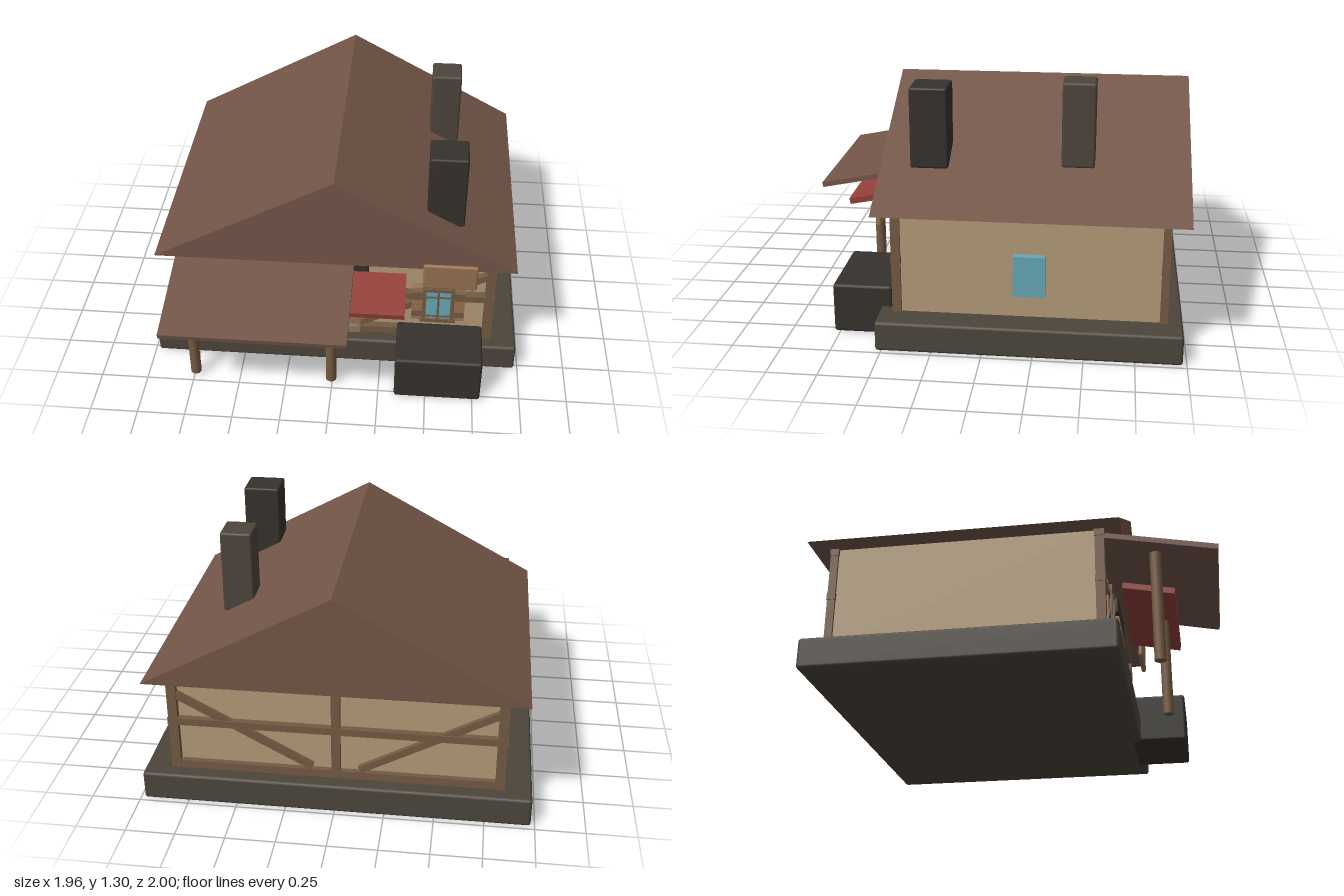
import * as THREE from 'three';
import { RoundedBoxGeometry } from 'three/addons/geometries/RoundedBoxGeometry.js';

const mat = (color) => new THREE.MeshStandardMaterial({ color });

export function createModel() {
  const house = new THREE.Group();
  house.name = 'house';
  const roofMat = mat(0x735548), wood = mat(0x735a42), plaster = mat(0xb39a78), stone = mat(0x4c453b),
    dark = mat(0x36312c), red = mat(0x94403a), glass = mat(0x67a7b7), plank = mat(0x967452), iron = mat(0x858a8c);

  function add(name, geometry, material, x = 0, y = 0, z = 0, parent = house) {
    const mesh = new THREE.Mesh(geometry, material);
    mesh.name = name;
    mesh.position.set(x, y, z);
    parent.add(mesh);
    return mesh;
  }
  // Box given by its minimum and maximum corners; r rounds the edges
  function block(name, material, [x0, x1], [y0, y1], [z0, z1], r = 0, parent = house) {
    const s = [x1 - x0, y1 - y0, z1 - z0];
    const geometry = r ? new RoundedBoxGeometry(...s, 2, r) : new THREE.BoxGeometry(...s);
    return add(name, geometry, material, (x0 + x1) / 2, (y0 + y1) / 2, (z0 + z1) / 2, parent);
  }

  // Foundation, walls and the stone block beside the entrance
  block('foundation', stone, [-0.98, 0.98], [0, 0.153], [-0.98, 0.53], 0.015);
  block('walls', plaster, [-0.83, 0.83], [0.15, 0.7], [-0.875, 0.42]);
  block('stoneBlock', dark, [0.335, 0.79], [0, 0.26], [0.475, 0.78], 0.015);

  // Gabled roof with a flat underside
  const gable = new THREE.Shape([[-0.94, 0.69], [0.94, 0.69], [0, 1.2]].map(([x, y]) => new THREE.Vector2(x, y)));
  add('mainRoof', new THREE.ExtrudeGeometry(gable, { depth: 1.54, bevelEnabled: false }), roofMat, 0, 0, -0.997);

  // Chimneys
  block('frontChimney', dark, [0.465, 0.66], [0.852, 1.263], [0.2, 0.39], 0.012);
  block('backChimney', stone, [0.465, 0.625], [0.868, 1.298], [-0.525, -0.36], 0.012);

  // Timber framing, the same on the front and back walls
  function timberWall(name, z0, z1) {
    const frame = new THREE.Group();
    frame.name = name;
    house.add(frame);
    const beam = (part, x, y, inset = 0.005) => block(part, wood, x, y, [z0 + inset, z1 - inset], 0, frame);
    beam('sillBeam', [-0.8, 0.8], [0.152, 0.195]);
    beam('middleBeam', [-0.848, 0.848], [0.41, 0.448], 0);
    beam('topBeam', [-0.848, 0.848], [0.655, 0.69], 0);
    beam('centrePost', [-0.022, 0.022], [0.152, 0.67], 0.003);
    for (const side of [-1, 1]) {
      beam('cornerPost', [side * 0.82 - 0.024, side * 0.82 + 0.024], [0.152, 0.67], 0.002);
      const dx = side * 0.69, dy = 0.375;
      const brace = add('diagonalBrace', new THREE.BoxGeometry(Math.hypot(dx, dy), 0.036, z1 - z0 - 0.014),
        wood, side * 0.465, 0.395, (z0 + z1) / 2, frame);
      brace.rotation.z = side * Math.atan2(dy, Math.abs(dx));
    }
  }
  timberWall('frontTimbers', 0.415, 0.465);
  timberWall('backTimbers', -0.908, -0.865);

  // Front windows with shutters
  for (const side of [-1, 1]) {
    const win = new THREE.Group();
    win.name = 'frontWindow';
    win.position.x = side * 0.55;
    house.add(win);
    block('pane', glass, [-0.07, 0.07], [0.275, 0.48], [0.42, 0.468], 0, win);
    block('mullion', wood, [-0.006, 0.006], [0.275, 0.48], [0.42, 0.476], 0, win);
    block('windowSill', wood, [-0.095, 0.095], [0.268, 0.288], [0.42, 0.48], 0, win);
    block('windowHead', wood, [-0.085, 0.085], [0.475, 0.493], [0.42, 0.476], 0, win);
    for (const y of [0.305, 0.435]) block('glazingBar', wood, [-0.07, 0.07], [y - 0.005, y + 0.005], [0.42, 0.472], 0, win);
    for (const e of [-1, 1]) {
      block('windowJamb', wood, [e * 0.075 - 0.01, e * 0.075 + 0.01], [0.275, 0.485], [0.42, 0.476], 0, win);
      block('shutter', plank, [e * 0.113 - 0.028, e * 0.113 + 0.028], [0.27, 0.49], [0.42, 0.462], 0, win);
      for (const y of [0.315, 0.445]) {
        block('shutterBand', wood, [e * 0.113 - 0.028, e * 0.113 + 0.028], [y - 0.018, y + 0.018], [0.42, 0.468], 0, win);
      }
    }
  }
  // Side window
  block('sideWindow', glass, [0.82, 0.868], [0.275, 0.485], [-0.303, -0.145]);

  // Door with strap hinges, knob and lintel
  block('door', plank, [-0.135, 0.135], [0.152, 0.55], [0.42, 0.469]);
  for (const y of [0.205, 0.482]) block('doorHinge', iron, [-0.12, 0.12], [y - 0.009, y + 0.009], [0.42, 0.475]);
  add('doorKnob', new THREE.SphereGeometry(0.013, 12, 8), dark, 0.085, 0.338, 0.48);
  block('doorLintel', dark, [-0.175, 0.175], [0.55, 0.645], [0.42, 0.472], 0.01);

  // Sloping porch roof on round posts
  const porch = add('porchRoof', new THREE.BoxGeometry(0.94, 0.027, 0.575), roofMat, -0.37, 0.604, 0.717);
  porch.rotation.x = 0.195;
  for (const x of [-0.74, -0.005]) {
    add('porchPost', new THREE.CylinderGeometry(0.028, 0.028, 0.56, 16), wood, x, 0.306, 0.7);
  }

  // Awning over the door
  const awning = add('awning', new THREE.BoxGeometry(0.75, 0.032, 0.272), red, 0, 0.585, 0.643);
  awning.rotation.x = 0.195;

  // Blank sign board under the eave
  const sign = block('signBoard', plank, [0.46, 0.74], [0.567, 0.722], [0.53, 0.555], 0.01);
  sign.rotation.x = 0.03;

  return house;
}
